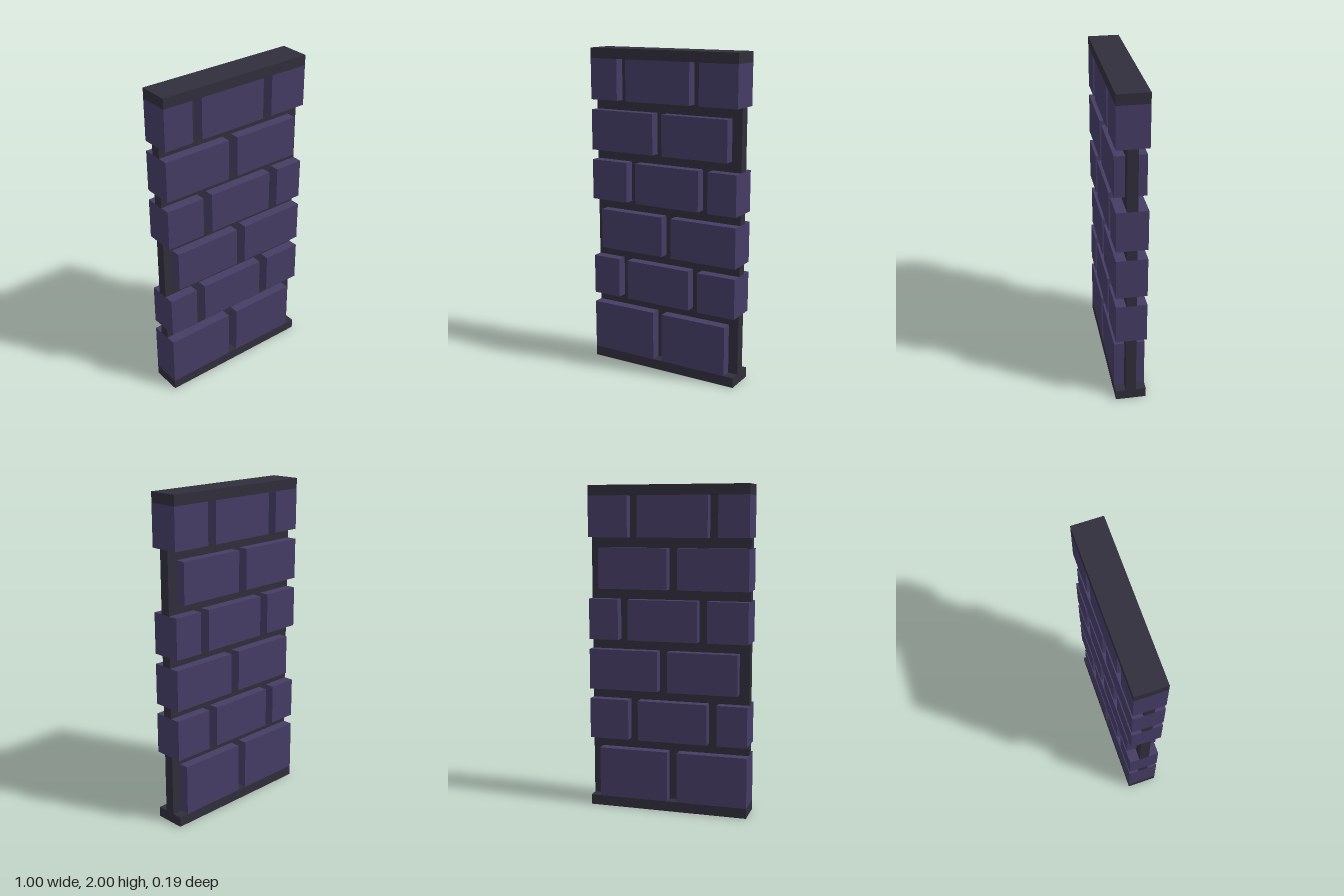
import * as THREE from 'three';

const U = 1 / 16; // every size is a whole number of these units
const DEPTH = 3; // brick, base and cap depth
const CORE = 1; // mortar depth

// Brick spans along x
const halfBond = [[-8, -1], [0, 7]];
const threeBond = [[-8, -5], [-4, 3], [4, 8]];
const shiftedHalf = [[-7, 0], [1, 8]];
const shiftedThree = [[-8, -4], [-3, 4], [5, 8]];

// Courses from the bottom up: [bottom, top, brick spans]
const courses = [
  [1, 6, halfBond],
  [7, 11, threeBond],
  [12, 16, shiftedHalf],
  [17, 21, shiftedThree],
  [22, 26, halfBond],
  [27, 31, threeBond],
];

export function createModel() {
  const brickMat = new THREE.MeshStandardMaterial({ name: 'purpleBrick', color: 0x453c64 });
  const mortarMat = new THREE.MeshStandardMaterial({ name: 'darkMortar', color: 0x302e3b });
  const wall = new THREE.Group();
  wall.name = 'brickWall';

  const block = (name, mat, x0, x1, y0, y1, depth) => {
    const mesh = new THREE.Mesh(
      new THREE.BoxGeometry((x1 - x0) * U, (y1 - y0) * U, depth * U), mat);
    mesh.name = name;
    mesh.position.set((x0 + x1) * U / 2, (y0 + y1) * U / 2, 0);
    wall.add(mesh);
  };

  // Full-depth base and cap slabs
  block('base', mortarMat, -8, 8, 0, 1, DEPTH);
  block('cap', mortarMat, -8, 8, 31, 32, DEPTH);

  courses.forEach(([y0, y1, spans], i) => {
    // Recessed bed joint between this course and the one below
    if (i > 0) block('bedJoint', mortarMat, -8, 8, y0 - 1, y0, CORE);

    // Bricks run through the wall; recessed mortar fills the gaps
    let edge = -8;
    for (const [x0, x1] of spans) {
      if (x0 > edge) block('headJoint', mortarMat, edge, x0, y0, y1, CORE);
      block('brick', brickMat, x0, x1, y0, y1, DEPTH);
      edge = x1;
    }
    if (edge < 8) block('headJoint', mortarMat, edge, 8, y0, y1, CORE);
  });

  return wall;
}
